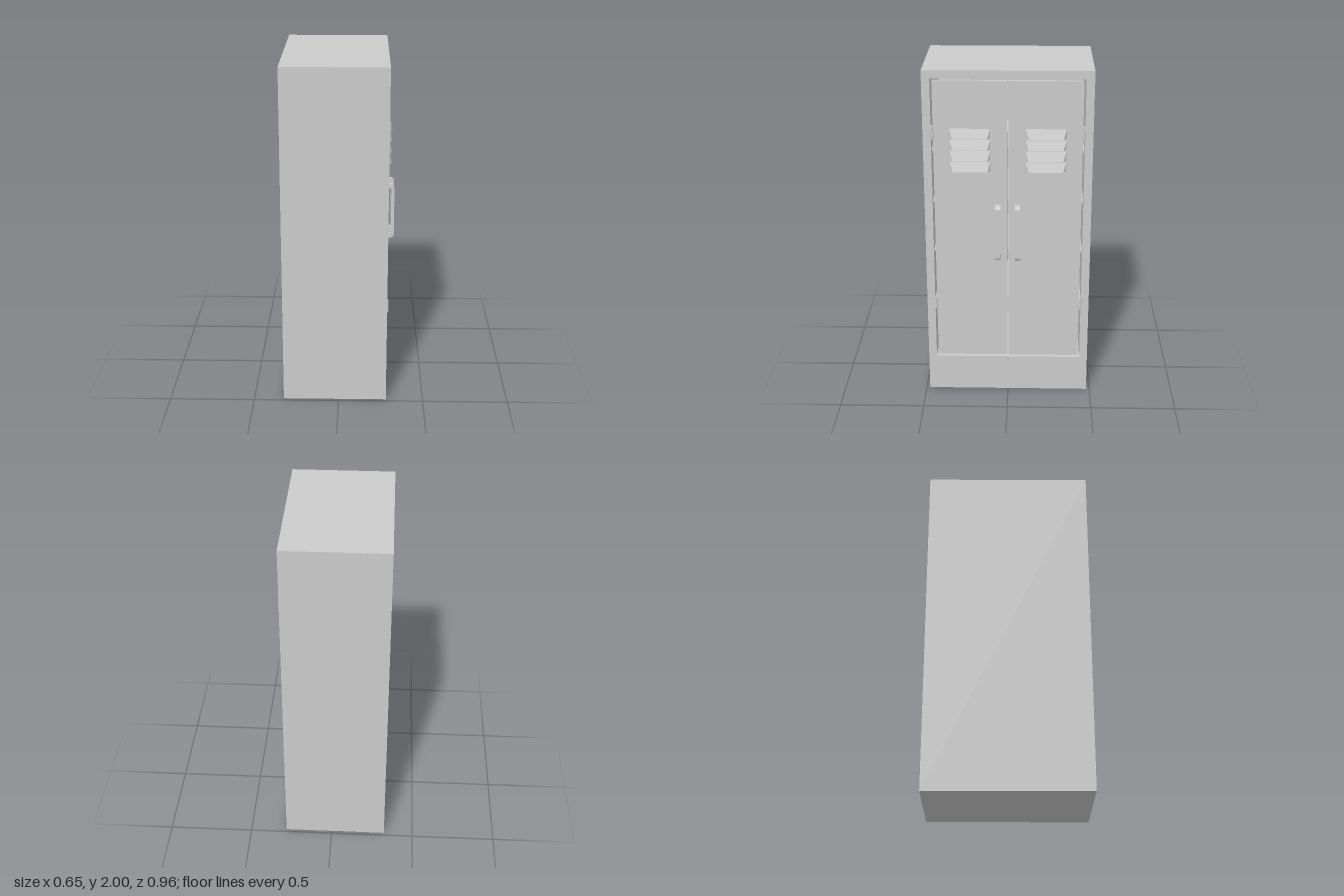
import * as THREE from 'three';

const FACE = 0.282, BACK = -0.325, HALF = 0.48;
const LOUVER = { near: 0.1, far: 0.33, height: 0.057, inset: 0.017, out: 0.018 };
const louverBottoms = [0, 1, 2, 3].map((i) => 1.61 - i * 0.0653);

const grey = new THREE.MeshStandardMaterial({ color: 0xcccccc, flatShading: true });
const sheet = new THREE.MeshStandardMaterial({ color: 0xcccccc, flatShading: true, side: THREE.DoubleSide });

function add(parent, name, geometry, material = grey) {
  const mesh = new THREE.Mesh(geometry, material);
  mesh.name = name;
  parent.add(mesh);
  return mesh;
}

// Rectangle outline; the horizontal axis becomes -z once the panel is turned
function rect(type, u0, u1, y0, y1) {
  const p = new type();
  p.moveTo(u0, y0);
  p.lineTo(u1, y0);
  p.lineTo(u1, y1);
  p.lineTo(u0, y1);
  p.closePath();
  return p;
}

// Extrude an outline along x, ending on the front face
function panel(shape, depth) {
  const g = new THREE.ExtrudeGeometry(shape, { depth, bevelEnabled: false });
  g.rotateY(Math.PI / 2);
  g.translate(FACE - depth, 0, 0);
  return g;
}

// Open-bottomed pressed louver: sloping top sheet with two triangular cheeks
function louverGeometry(s, y) {
  const { near, far, height, inset, out } = LOUVER;
  const x1 = FACE + out, top = y + height;
  const a = [FACE, top, s * near], b = [FACE, top, s * far];
  const c = [x1, y, s * (far - inset)], d = [x1, y, s * (near + inset)];
  const e = [FACE, y, s * near], f = [FACE, y, s * far];
  const g = new THREE.BufferGeometry();
  const corners = [a, d, c, a, c, b, a, e, d, b, c, f].flat();
  g.setAttribute('position', new THREE.Float32BufferAttribute(corners, 3));
  g.computeVertexNormals();
  return g;
}

// Handle side profile: a flat bar bent into a bracket with rounded corners
function handleGeometry() {
  const x0 = FACE, x1 = 0.325, xi = 0.306, y0 = 0.875, y1 = 1.213, t = 0.027;
  const r = 0.024, ri = 0.007;
  const p = new THREE.Shape();
  p.moveTo(x0, y0);
  p.lineTo(x1 - r, y0);
  p.quadraticCurveTo(x1, y0, x1, y0 + r);
  p.lineTo(x1, y1 - r);
  p.quadraticCurveTo(x1, y1, x1 - r, y1);
  p.lineTo(x0, y1);
  p.lineTo(x0, y1 - t);
  p.lineTo(xi - ri, y1 - t);
  p.quadraticCurveTo(xi, y1 - t, xi, y1 - t - ri);
  p.lineTo(xi, y0 + t + ri);
  p.quadraticCurveTo(xi, y0 + t, xi - ri, y0 + t);
  p.lineTo(x0, y0 + t);
  p.closePath();
  const g = new THREE.ExtrudeGeometry(p, { depth: 0.032, bevelEnabled: false, curveSegments: 4 });
  g.translate(0, 0, -0.016);
  return g;
}

function createDoor(s) {
  const door = new THREE.Group();
  door.name = s > 0 ? 'leftDoor' : 'rightDoor';

  // Door leaf with a slot behind every louver
  const span = (n, f) => [-s * n, -s * f].sort((p, q) => p - q);
  const leaf = rect(THREE.Shape, ...span(0.004, 0.422), 0.236, 1.943);
  for (const y of louverBottoms) {
    leaf.holes.push(rect(THREE.Path, ...span(LOUVER.near, LOUVER.far), y, y + LOUVER.height));
  }
  add(door, 'doorLeaf', panel(leaf, 0.02));
  for (const y of louverBottoms) add(door, 'louver', louverGeometry(s, y), sheet);

  add(door, 'handle', handleGeometry()).position.z = s * 0.058;

  for (const y of [0.583, 1.643]) {
    const hinge = add(door, 'hinge', new THREE.CylinderGeometry(0.01, 0.01, 0.075, 8));
    hinge.position.set(0.28, y, s * 0.428);
  }
  return door;
}

export function createModel() {
  const locker = new THREE.Group();
  locker.name = 'locker';

  // Hollow case: front opening carried through to the back panel
  const backThickness = 0.02;
  const outline = rect(THREE.Shape, -HALF, HALF, 0, 2);
  outline.holes.push(rect(THREE.Path, -0.433, 0.433, 0.222, 1.954));
  add(locker, 'case', panel(outline, FACE - BACK - backThickness));
  const back = add(locker, 'backPanel', new THREE.BoxGeometry(backThickness, 2, 2 * HALF));
  back.position.set(BACK + backThickness / 2, 1, 0);

  // Inner shelves
  for (const y of [0.6, 0.91, 1.22, 1.53]) {
    const shelf = add(locker, 'shelf', new THREE.BoxGeometry(0.555, 0.015, 0.866));
    shelf.position.set(-0.0275, y, 0);
  }

  for (const s of [1, -1]) locker.add(createDoor(s));
  return locker;
}
